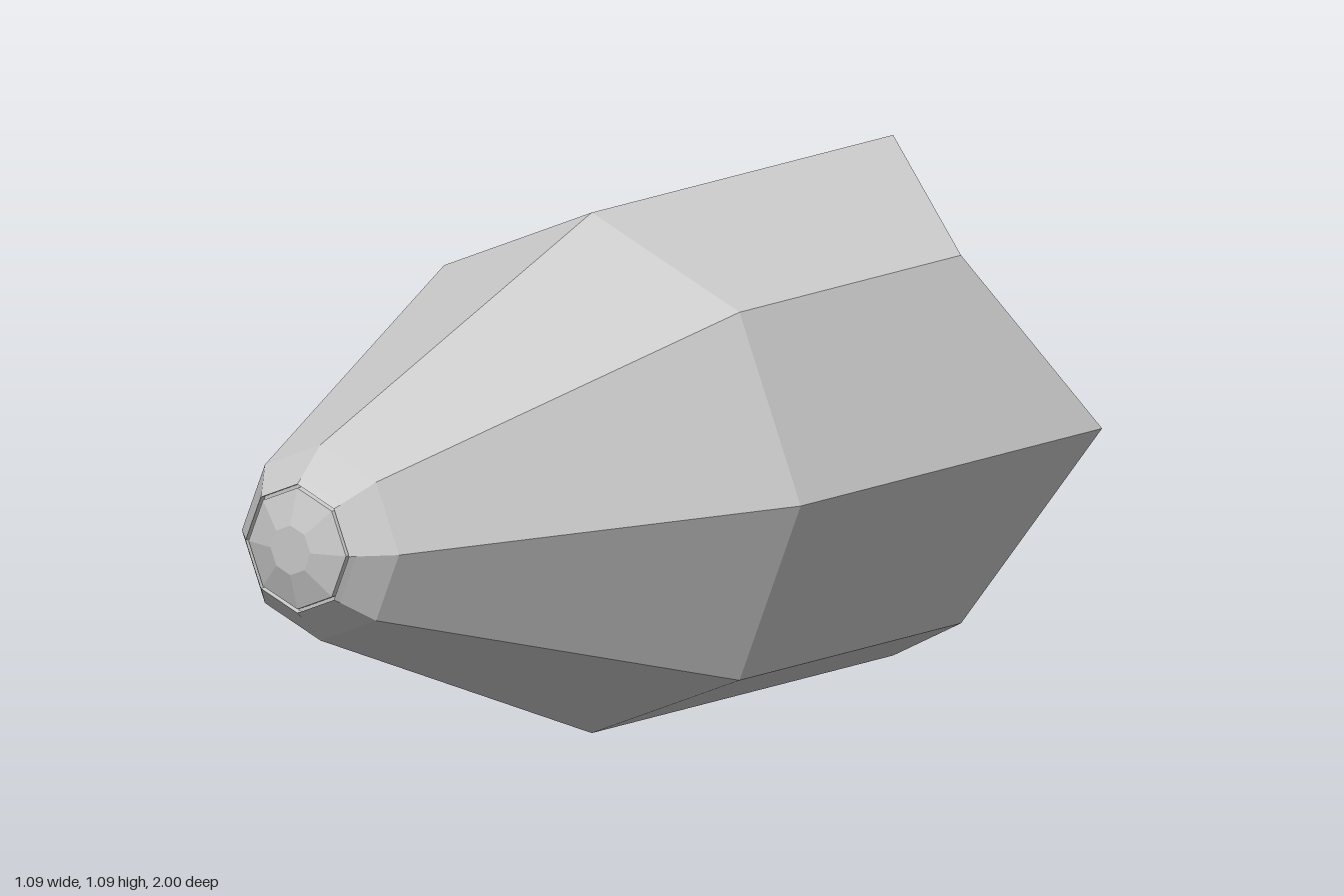
import * as THREE from 'three';

const SIDES = 8;
const RADIUS = 0.545;

// Octagonal ring about the z axis; z may differ between even and odd corners
function ring(r, zEven, zOdd = zEven) {
  return Array.from({ length: SIDES }, (_, k) => {
    const a = (k / SIDES) * Math.PI * 2;
    return [r * Math.cos(a), r * Math.sin(a), k % 2 ? zOdd : zEven];
  });
}

// Faceted skin through successive rings
function skin(name, rings, material) {
  const pos = [];
  const tri = (...corners) => corners.forEach((c) => pos.push(...c));
  for (let i = 0; i + 1 < rings.length; i++) {
    for (let k = 0; k < SIDES; k++) {
      const n = (k + 1) % SIDES;
      const a = rings[i][k], b = rings[i][n], c = rings[i + 1][n], d = rings[i + 1][k];
      // folds run out to the even corners, mirrored on neighbouring panels
      if (k % 2) { tri(a, b, c); tri(a, c, d); }
      else { tri(a, b, d); tri(b, c, d); }
    }
  }
  const geometry = new THREE.BufferGeometry();
  geometry.setAttribute('position', new THREE.Float32BufferAttribute(pos, 3));
  geometry.computeVertexNormals();
  const mesh = new THREE.Mesh(geometry, material);
  mesh.name = name;
  return mesh;
}

export function createModel() {
  const group = new THREE.Group();
  group.name = 'taperedPod';
  const material = new THREE.MeshStandardMaterial({
    color: 0xcccccc, flatShading: true, side: THREE.DoubleSide,
  });

  const toothedRim = ring(RADIUS, -1, -0.735);

  // Sunken tail: flat floor, then slopes out to the four-toothed rim
  group.add(skin('tailRecess', [ring(0, -0.735), ring(0.22, -0.735), toothedRim], material));

  // Straight body, long taper and bevelled front end
  group.add(skin('hull', [
    toothedRim, ring(RADIUS, 0), ring(0.205, 0.9), ring(0.145, 0.965), ring(0.135, 0.977),
  ], material));

  // Thin groove around the nose, then the low domed cap
  group.add(skin('noseGroove', [
    ring(0.135, 0.977), ring(0.135, 0.962), ring(0.127, 0.962), ring(0.127, 0.977),
  ], material));
  group.add(skin('noseCap', [ring(0.127, 0.977), ring(0.052, 1), ring(0, 1)], material));

  // Rest the lowest corner on the ground
  group.children.forEach((part) => { part.position.y = RADIUS; });
  return group;
}
